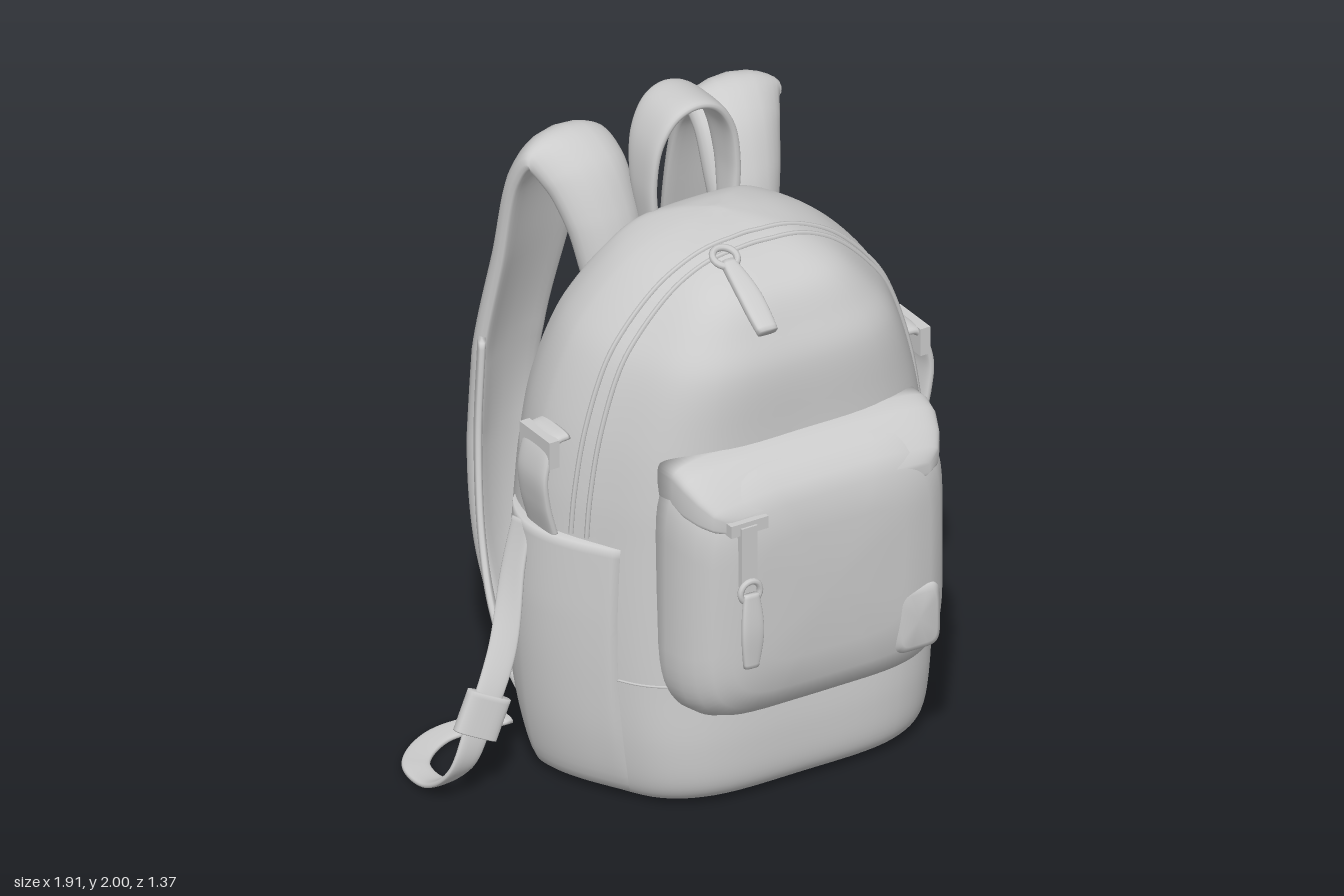
import * as THREE from 'three';

const V = (x, y, z) => new THREE.Vector3(x, y, z);
const mat = new THREE.MeshStandardMaterial({ color: 0xcccccc, roughness: 0.8 });

function add(parent, geo, name) {
  const m = new THREE.Mesh(geo, mat);
  m.name = name;
  parent.add(m);
  return m;
}

// Closed, capped skin over a list of equal-length rings; winding is fixed by its volume
function loft(rings) {
  const n = rings[0].length, pts = rings.flat(), idx = [];
  for (let i = 0; i < rings.length - 1; i++) for (let j = 0; j < n; j++) {
    const a = i * n + j, b = i * n + (j + 1) % n;
    idx.push(a, b, a + n, b, b + n, a + n);
  }
  [0, rings.length - 1].forEach((r, e) => {
    const c = pts.length;
    pts.push(rings[r].reduce((s, p) => s.add(p), V(0, 0, 0)).divideScalar(n));
    for (let j = 0; j < n; j++) {
      const a = r * n + j, b = r * n + (j + 1) % n;
      idx.push(...(e ? [a, b, c] : [b, a, c]));
    }
  });
  let vol = 0;
  for (let i = 0; i < idx.length; i += 3) {
    vol += pts[idx[i]].dot(V(0, 0, 0).crossVectors(pts[idx[i + 1]], pts[idx[i + 2]]));
  }
  if (vol < 0) idx.reverse();
  const g = new THREE.BufferGeometry().setFromPoints(pts);
  g.setIndex(idx);
  g.computeVertexNormals();
  return g;
}

const pw = (v, e) => Math.sign(v) * Math.abs(v) ** e;

// Flat band along a path; sides give the width direction, camber curls its edges
function band(pts, sides, width, thick, n = 60, camber = 0) {
  const path = new THREE.CatmullRomCurve3(pts);
  const side = sides.length > 1 ? new THREE.CatmullRomCurve3(sides) : null;
  const rings = [];
  for (let i = 0; i <= n; i++) {
    const t = i / n, p = path.getPoint(t), tan = path.getTangent(t);
    const s = side ? side.getPoint(t) : sides[0].clone();
    s.addScaledVector(tan, -s.dot(tan)).normalize();
    const nor = V(0, 0, 0).crossVectors(tan, s);
    const w = typeof width === 'function' ? width(t) : width;
    rings.push(Array.from({ length: 24 }, (_, j) => {
      const a = j / 24 * Math.PI * 2, c = pw(Math.cos(a), 0.7);
      return p.clone().addScaledVector(s, c * w / 2)
        .addScaledVector(nor, pw(Math.sin(a), 0.6) * thick / 2 + camber * c * c);
    }));
  }
  return loft(rings);
}

// Soft rectangle in the xy plane
function softRect(cx, y0, y1, hw, z) {
  return Array.from({ length: 64 }, (_, j) => {
    const a = j / 64 * Math.PI * 2;
    return V(cx + hw * pw(Math.cos(a), 0.38), (y0 + y1) / 2 + (y1 - y0) / 2 * pw(Math.sin(a), 0.38), z);
  });
}

// Body profile by height: y, half width, front depth, back depth
const rows = [
  [0.005, 0.57, 0.41, 0.17], [0.025, 0.6, 0.465, 0.19], [0.07, 0.62, 0.495, 0.21], [0.2, 0.645, 0.505, 0.27],
  [0.4, 0.66, 0.49, 0.33], [0.6, 0.66, 0.48, 0.32], [0.85, 0.645, 0.475, 0.31], [1.0, 0.63, 0.475, 0.305],
  [1.2, 0.59, 0.47, 0.295], [1.4, 0.515, 0.46, 0.255], [1.5, 0.445, 0.42, 0.225], [1.6, 0.34, 0.36, 0.19],
  [1.66, 0.235, 0.26, 0.16], [1.695, 0.12, 0.12, 0.09], [1.71, 0.012, 0.012, 0.012]];
const profA = new THREE.CatmullRomCurve3(rows.map(r => V(r[1], r[0], r[2])));
const profB = new THREE.CatmullRomCurve3(rows.map(r => V(r[3], r[0], 0)));
// Plan outline in units of half width and depth, from front centre round to back centre
const half = [[0, 1], [0.5, 0.97], [0.73, 0.82], [0.89, 0.47], [0.985, 0.15],
  [1, -0.1], [0.92, -0.6], [0.77, -0.92], [0.42, -1], [0, -1.02]];
const plan = new THREE.CatmullRomCurve3([...half, ...half.slice(1, 9).reverse().map(p => [-p[0], p[1]])]
  .map(p => V(p[0], 0, p[1])), true);

function bisect(f, lo, hi) { // f rises from below to above zero
  for (let i = 0; i < 28; i++) { const m = (lo + hi) / 2; if (f(m) < 0) lo = m; else hi = m; }
  return lo;
}
function bodyPoint(u, s, off = 0) {
  const a = profA.getPoint(s), q = plan.getPoint(((u / 18) % 1 + 1) % 1);
  const p = V(q.x * a.x, a.y, q.z * (q.z > 0 ? a.z : profB.getPoint(s).x));
  const l = Math.hypot(p.x, p.z) || 1;
  return V(p.x * (1 + off / l), p.y, p.z * (1 + off / l));
}
const atHeight = y => bisect(s => profA.getPoint(s).y - y, 0, 1);

// Arched line over the bag at constant depth z
function arch(z, yLow) {
  const s0 = atHeight(yLow), s1 = bisect(s => z - profA.getPoint(s).z, 0.6, 1), pts = [];
  for (let i = 0; i < 40; i++) {
    const s = s0 + (s1 - s0) * Math.sin(i / 40 * Math.PI / 2);
    pts.push(bodyPoint(bisect(u => z - bodyPoint(u, s).z, 0, 5), s, 0.003));
  }
  const top = profA.getPoint(s1);
  return new THREE.CatmullRomCurve3([...pts, V(0, top.y + 0.002, z),
    ...pts.slice().reverse().map(p => V(-p.x, p.y, p.z))]);
}

export function createModel() {
  const root = new THREE.Group();
  root.name = 'backpack';
  const g = new THREE.Group();
  g.name = 'bag';
  g.position.x = 0.035;
  root.add(g);

  // Main body with zipper lines and base seam
  add(g, loft(Array.from({ length: 101 }, (_, i) =>
    Array.from({ length: 108 }, (_, j) => bodyPoint(j / 6, i / 100)))), 'body');
  for (const z of [0.15, 0.2]) add(g, new THREE.TubeGeometry(arch(z, 0.86), 160, 0.008, 6), 'zipperPiping');
  const sb = atHeight(0.42);
  add(g, new THREE.TubeGeometry(new THREE.CatmullRomCurve3(
    Array.from({ length: 72 }, (_, j) => bodyPoint(j / 4, sb)), true), 144, 0.004, 6), 'baseSeam');

  // Front pocket and its flap, tapering forward: y0, y1, half width, z
  const skin = list => loft(list.map(r => softRect(-0.005, ...r)));
  add(g, skin([[0.31, 1.18, 0.46, 0.36], [0.31, 1.18, 0.468, 0.45], [0.315, 1.16, 0.455, 0.51],
    [0.335, 1.13, 0.435, 0.56], [0.37, 1.09, 0.4, 0.602], [0.43, 1.04, 0.35, 0.63],
    [0.53, 0.94, 0.25, 0.645]]), 'frontPocket');
  add(g, skin([[1.0, 1.185, 0.45, 0.38], [1.0, 1.185, 0.45, 0.46], [0.99, 1.165, 0.445, 0.51],
    [0.985, 1.125, 0.425, 0.56], [0.985, 1.08, 0.395, 0.6], [0.985, 1.045, 0.35, 0.624]]), 'pocketFlap');
  add(g, loft([[0.6, 0.08], [0.632, 0.08], [0.645, 0.062]].map(([z, w]) =>
    softRect(0.295, 0.52 - w * 1.2, 0.54 + w * 1.2, w, z))), 'plainPatch');

  // Pocket zip pull
  const box = (name, w, h, d, x, y, z) => add(g, new THREE.BoxGeometry(w, h, d), name).position.set(x, y, z);
  box('pullBar', 0.13, 0.04, 0.03, -0.3, 1.015, 0.63);
  box('pullWebbing', 0.055, 0.2, 0.025, -0.305, 0.92, 0.64);
  const ring = add(g, new THREE.TorusGeometry(0.034, 0.01, 8, 20), 'pullRing');
  ring.position.set(-0.305, 0.805, 0.655);
  add(g, band([V(-0.305, 0.8, 0.66), V(-0.307, 0.68, 0.672), V(-0.31, 0.56, 0.668)], [V(1, 0, 0)],
    t => 0.05 + 0.025 * Math.sin(t * Math.PI), 0.022, 20), 'pullTab');

  // Main zip pull
  const ring2 = add(g, new THREE.TorusGeometry(0.038, 0.011, 8, 20), 'zipRing');
  ring2.position.set(-0.125, 1.685, 0.235);
  ring2.rotation.x = -1.2;
  add(g, band([V(-0.125, 1.675, 0.25), V(-0.13, 1.625, 0.37), V(-0.135, 1.55, 0.485)], [V(1, 0, 0)],
    t => 0.045 + 0.03 * Math.sin(t * 2.4), 0.035, 20), 'zipTab');

  // Top handle, wider at its crown
  add(g, band([V(-0.13, 1.6, -0.17), V(-0.138, 1.75, -0.19), V(-0.115, 1.88, -0.205), V(-0.06, 1.96, -0.212),
    V(0.01, 1.983, -0.215), V(0.08, 1.96, -0.212), V(0.135, 1.88, -0.205), V(0.155, 1.75, -0.19),
    V(0.145, 1.6, -0.17)], [V(0, 0, 1)], t => 0.09 + 0.1 * Math.sin(t * Math.PI), 0.034), 'topHandle');

  for (const s of [1, -1]) {
    const M = (x, y, z) => V(s * x, y, z);

    // Side pocket swelling softly from the body
    const us = Array.from({ length: 33 }, (_, j) => s * (2.55 + 3.25 * j / 32));
    add(g, loft(Array.from({ length: 29 }, (_, i) => {
      const k = atHeight(0.03 + 0.82 * i / 28), lift = 0.015 + 0.015 * Math.min(1, i / 20);
      return [...us.map((u, j) => bodyPoint(u, k, 0.002 + lift * Math.sin(j / 32 * Math.PI) ** 0.6)),
        ...us.slice().reverse().map(u => bodyPoint(u, k, -0.03))];
    })), 'sidePocket');

    // Side tab with its slider
    add(g, band([M(0.59, 1.16, 0.04), M(0.635, 1.15, 0.04), M(0.675, 1.05, 0.045), M(0.668, 0.95, 0.045),
      M(0.64, 0.84, 0.045)], [V(0, 0, 1)], 0.15, 0.03, 30), 'sideTab');
    box('sideSlider', 0.035, 0.09, 0.165, s * 0.65, 1.12, 0.04);

    // Padded shoulder strap with edges curled toward the bag
    add(g, band([M(0.235, 1.5, -0.17), M(0.245, 1.66, -0.215), M(0.27, 1.8, -0.29), M(0.295, 1.855, -0.385),
      M(0.315, 1.76, -0.47), M(0.335, 1.45, -0.555), M(0.37, 1.1, -0.625), M(0.39, 0.8, -0.63),
      M(0.4, 0.5, -0.585), M(0.385, 0.27, -0.515), M(0.36, 0.08, -0.46)],
    [M(1, 0, 0), M(1, 0, 0.05), M(1, 0, 0), M(0.98, 0, 0.1), M(0.95, 0, 0.2), M(0.93, 0, 0.3), M(0.93, 0, 0.35),
      M(0.93, 0, 0.35), M(0.94, 0, 0.3), M(0.96, 0, 0.2), M(1, 0, 0.1)],
    t => 0.21 + 0.115 * Math.sin(Math.min(1, t * 1.05) * Math.PI), 0.075, 100, s * 0.042), 'shoulderStrap');

    // Tab at the lower back corner, with the webbing that runs to it from the pad
    add(g, band([M(0.48, 0.06, -0.16), M(0.55, 0.2, -0.22), M(0.59, 0.34, -0.28)], [M(1, 0, 0.7)],
      t => 0.14 - 0.07 * t, 0.03, 20), 'cornerTab');
    add(g, band([M(0.5, 1.18, -0.51), M(0.52, 0.85, -0.5), M(0.55, 0.55, -0.43), M(0.57, 0.35, -0.33),
      M(0.55, 0.15, -0.21)], [M(0.5, 0, 0.85)], 0.08, 0.025), 'cornerWebbing');
  }

  // Adjuster webbing: the left one runs up to its pad, the right one up to the bag's side
  add(g, band([V(0.53, 0.02, -0.22), V(0.72, 0.015, -0.27), V(0.85, 0.02, -0.28), V(0.9, 0.09, -0.25),
    V(0.86, 0.19, -0.25), V(0.77, 0.25, -0.27), V(0.68, 0.42, -0.34), V(0.58, 0.65, -0.44), V(0.53, 0.9, -0.5),
    V(0.5, 1.15, -0.52)],
  [V(0, 0, 1), V(0.15, 0, 1), V(0.25, 0, 1), V(0.3, 0, 1), V(0.4, 0, 0.9), V(0.5, 0, 0.85)],
  0.085, 0.02, 90), 'leftWebbing');
  add(g, band([V(-0.55, 0.02, -0.3), V(-0.78, 0.014, -0.31), V(-0.93, 0.015, -0.2), V(-0.955, 0.03, -0.05),
    V(-0.93, 0.12, 0.05), V(-0.87, 0.27, 0.06), V(-0.78, 0.47, 0.04), V(-0.71, 0.7, -0.01),
    V(-0.665, 0.84, -0.03)],
  [V(0, 0, 1), V(0.4, 0, 0.9), V(0.8, 0, 0.5), V(1, 0, 0), V(1, 0, 0), V(1, 0, 0.2), V(0.8, 0, 0.6),
    V(0.3, 0, 1), V(0.1, 0, 1)], 0.085, 0.02, 90), 'rightWebbing');
  add(g, band([V(0.81, 0.225, -0.255), V(0.73, 0.32, -0.3)], [V(0.35, 0, 1)], 0.12, 0.045, 10), 'leftBuckle');
  add(g, band([V(-0.89, 0.22, 0.06), V(-0.835, 0.34, 0.055)], [V(1, 0, 0.2)], 0.14, 0.05, 10), 'rightBuckle');

  // Chest strap joining the lower ends of the shoulder straps
  add(g, band([V(-0.38, 0.22, -0.51), V(-0.26, 0.13, -0.545), V(0, 0.11, -0.55), V(0.26, 0.13, -0.545),
    V(0.38, 0.22, -0.51)], [V(0, 1, 0.6)], 0.055, 0.025), 'chestStrap');
  box('chestBuckle', 0.12, 0.06, 0.05, -0.01, 0.11, -0.55);
  return root;
}
